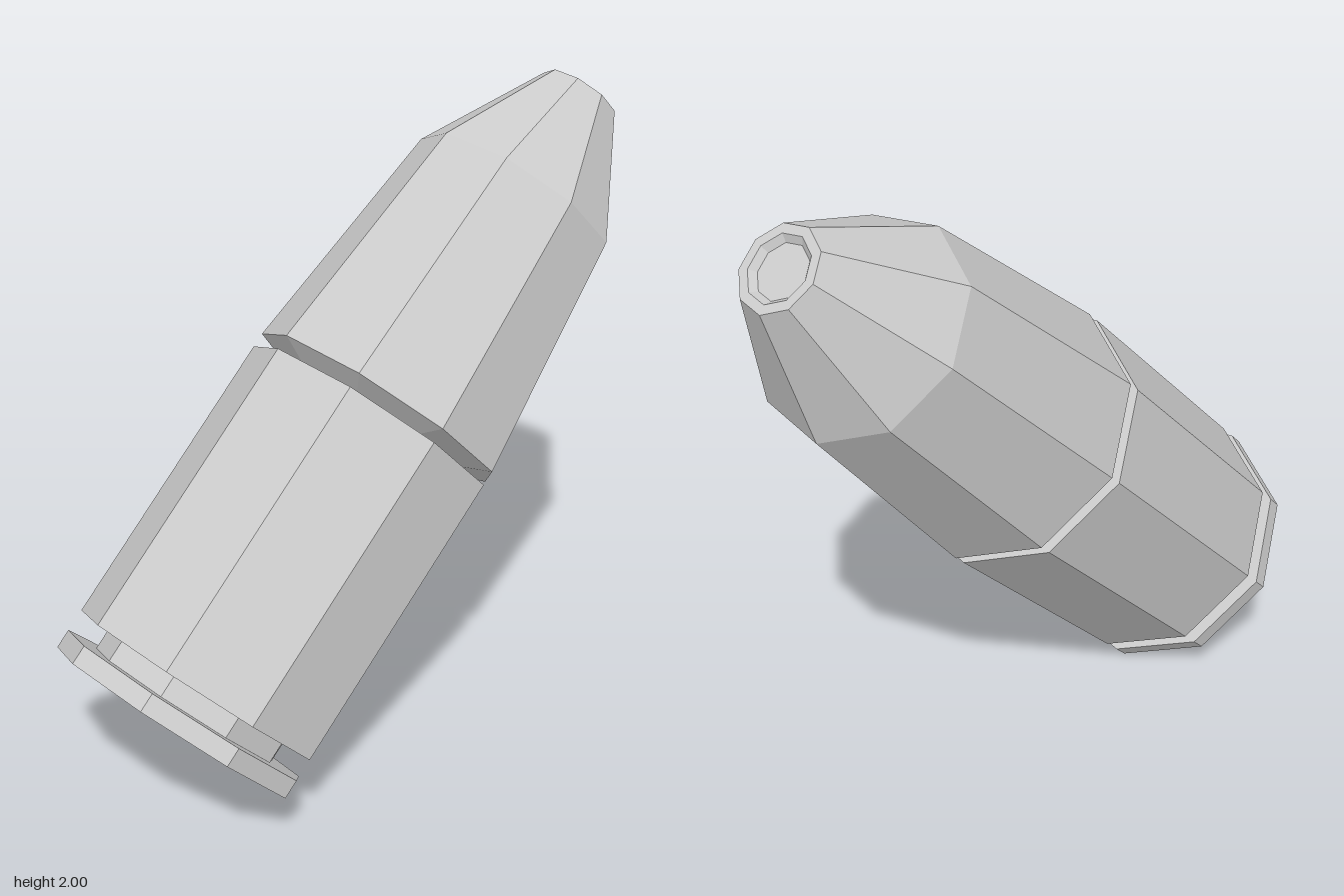
import * as THREE from 'three';

const SIDES = 9;

export function createModel() {
  const model = new THREE.Group();
  model.name = 'cartridge';
  const material = new THREE.MeshStandardMaterial({ color: 0xcccccc, flatShading: true });

  // All parts are nine-sided turnings around one tilted axis.
  const body = new THREE.Group();
  body.name = 'tiltedBody';
  body.rotation.z = -Math.PI / 4;
  body.position.set(-0.5, 0.5, 0.013);
  model.add(body);

  // profile: [radius, height along the axis], from base to tip
  const turned = (name, profile) => {
    const points = profile.map(([r, h]) => new THREE.Vector2(r, h));
    const mesh = new THREE.Mesh(new THREE.LatheGeometry(points, SIDES, Math.PI), material);
    mesh.name = name;
    body.add(mesh);
  };

  // slightly raised primer cap in the base
  turned('primer', [[0, -0.305], [0.22, -0.305], [0.22, -0.265]]);

  // base rim with a narrow channel around the primer
  turned('rim', [[0.22, -0.265], [0.25, -0.293], [0.42, -0.293], [0.42, -0.233], [0.32, -0.233]]);

  // recessed extractor groove
  turned('extractorGroove', [[0.32, -0.233], [0.32, -0.163]]);

  // straight case with flat ends
  turned('case', [[0.32, -0.163], [0.42, -0.163], [0.42, 0.787], [0.29, 0.787]]);

  // bullet: undercut base, long taper, shoulder and shallow hollow tip
  turned('bullet', [
    [0.29, 0.787], [0.42, 0.833], [0.337, 1.61], [0.129, 1.994],
    [0.1, 1.994], [0.082, 1.975], [0, 1.975],
  ]);

  return model;
}
